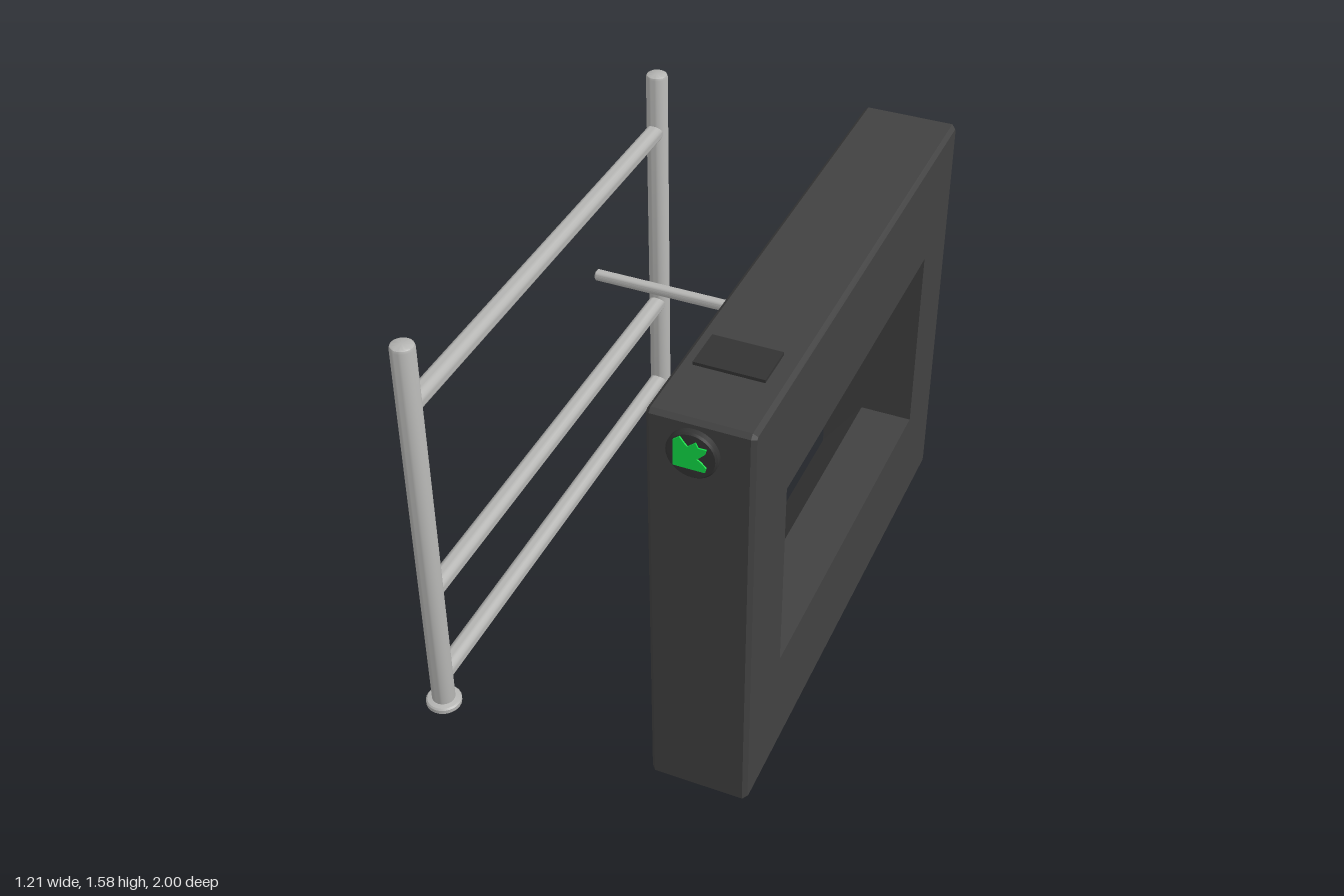
import * as THREE from 'three';
import { toCreasedNormals } from 'three/addons/utils/BufferGeometryUtils.js';

const material = (name, color) => Object.assign(new THREE.MeshStandardMaterial({ color }), { name });

// Rectangle in the z-y plane with cut corners, at a given x
function section(x, z0, z1, y0, y1, c = 0) {
  return [
    [z1, y1 - c], [z1, y0 + c], [z1 - c, y0], [z0 + c, y0],
    [z0, y0 + c], [z0, y1 - c], [z0 + c, y1], [z1 - c, y1],
  ].map(([z, y]) => new THREE.Vector3(x, y, z));
}

// Skins a closed ring of sections with flat faces
function ringGeometry(loops) {
  const points = [];
  const addTriangle = (a, b, c) => {
    if (new THREE.Triangle(a, b, c).getArea() > 1e-7) points.push(a, b, c);
  };
  loops.forEach((loop, i) => {
    const next = loops[(i + 1) % loops.length];
    loop.forEach((a, k) => {
      const m = (k + 1) % loop.length;
      addTriangle(a, loop[m], next[m]);
      addTriangle(a, next[m], next[k]);
    });
  });
  const geometry = new THREE.BufferGeometry().setFromPoints(points);
  geometry.computeVertexNormals();
  return geometry;
}

function lathe(profile, segments = 32) {
  const points = profile.map(([r, y]) => new THREE.Vector2(r, y));
  return toCreasedNormals(new THREE.LatheGeometry(points, segments), 0.6);
}

export function createModel() {
  const model = new THREE.Group();
  model.name = 'tripodTurnstile';
  const darkMetal = material('dark cabinet metal', 0x414141);
  const blackPlastic = material('black plastic', 0x333333);
  const steel = material('brushed steel', 0xb4b4b2);
  const green = material('green indicator', 0x10dc46);

  const add = (name, geometry, mat, x = 0, y = 0, z = 0) => {
    const mesh = new THREE.Mesh(geometry, mat);
    mesh.name = name;
    mesh.position.set(x, y, z);
    model.add(mesh);
    return mesh;
  };
  const up = new THREE.Vector3(0, 1, 0);
  const bar = (name, from, to, radius) => {
    const direction = to.clone().sub(from);
    const length = direction.length();
    const b = Math.min(0.005, radius / 4);
    const mesh = add(name, lathe([
      [0, 0], [radius - b, 0], [radius, b], [radius, length - b], [radius - b, length], [0, length],
    ], 24), steel, from.x, from.y, from.z);
    mesh.quaternion.setFromUnitVectors(up, direction.normalize());
  };

  // Cabinet: chamfered frame whose opening flares towards the passage
  const e = 0.014;
  add('cabinet', ringGeometry([
    section(0.262, -0.98 + e, 0.96 - e, 0.02 + e, 1.567 - e, e / 2),
    section(0.262 + e, -0.98, 0.96, 0.02, 1.567, e),
    section(0.604 - e, -0.98, 0.96, 0.02, 1.567, e),
    section(0.604, -0.98 + e, 0.96 - e, 0.02 + e, 1.567 - e, e / 2),
    section(0.604, -0.70, 0.68, 0.43, 1.16),
    section(0.41, -0.70, 0.68, 0.43, 1.16),
    section(0.262, -0.70, 0.68, 0.22, 1.32),
  ]), darkMetal);

  // Card reader on the lid
  add('cardReader', new THREE.BoxGeometry(0.23, 0.03, 0.15), blackPlastic, 0.422, 1.563, 0.64);

  // Round indicator lenses on both ends
  const lens = [[0, 0], [0.082, 0], [0.082, 0.026], [0.076, 0.032], [0, 0.034]];
  add('frontIndicator', lathe(lens, 40), blackPlastic, 0.417, 1.457, 0.952).rotation.x = Math.PI / 2;
  add('backIndicator', lathe(lens, 40), blackPlastic, 0.417, 1.457, -0.963).rotation.x = -Math.PI / 2;

  // Green direction arrow
  const arrow = new THREE.Shape([
    [-13, -11], [-13, 11], [-8, 15], [-4, 10], [-2, 8], [4, 13], [6, 9],
    [12, 9], [11, 5], [5, -1], [8, -3], [12, -7], [11, -11],
  ].map(([x, y]) => new THREE.Vector2(x / 240, y / 240)));
  add('directionArrow', new THREE.ExtrudeGeometry(arrow, { depth: 0.006, bevelEnabled: false }),
    green, 0.417, 1.46, 0.984);

  // Tripod hub on the sloped face of the opening, with three arms
  const hub = add('tripodHub', lathe([[0, -0.02], [0.092, -0.02], [0.092, 0.01], [0.05, 0.105], [0.04, 0.115], [0, 0.115]]),
    blackPlastic, 0.335, 1.24, -0.015);
  hub.quaternion.setFromUnitVectors(up, new THREE.Vector3(-0.73, -0.69, 0).normalize());
  const pivot = new THREE.Vector3(0.31, 1.255, -0.015);
  bar('barrierArm', new THREE.Vector3(0.29, 1.26, -0.015), new THREE.Vector3(-0.365, 1.26, -0.015), 0.02);
  for (const side of [1, -1]) {
    bar(side > 0 ? 'lowerFrontArm' : 'lowerBackArm', pivot,
      new THREE.Vector3(0.036, 0.745, -0.015 + side * 0.385), 0.02);
  }

  // Railing: two posts with foot flanges
  const railX = -0.546;
  for (const side of [1, -1]) {
    const end = side > 0 ? 'front' : 'back';
    add(end + 'Post', lathe([[0, 0], [0.041, 0], [0.041, 1.535], [0.038, 1.543], [0.032, 1.547], [0, 1.547]]),
      steel, railX, 0, side * 0.937);
    add(end + 'PostFoot', lathe([[0, 0], [0.063, 0], [0.063, 0.015], [0.058, 0.021], [0.041, 0.025]]),
      steel, railX, 0, side * 0.937);
  }

  // Railing: three horizontal rails
  [['lowerRail', 0.13], ['middleRail', 0.525], ['upperRail', 1.31]].forEach(([name, y]) =>
    bar(name, new THREE.Vector3(railX, y, -0.93), new THREE.Vector3(railX, y, 0.93), 0.034));

  return model;
}
